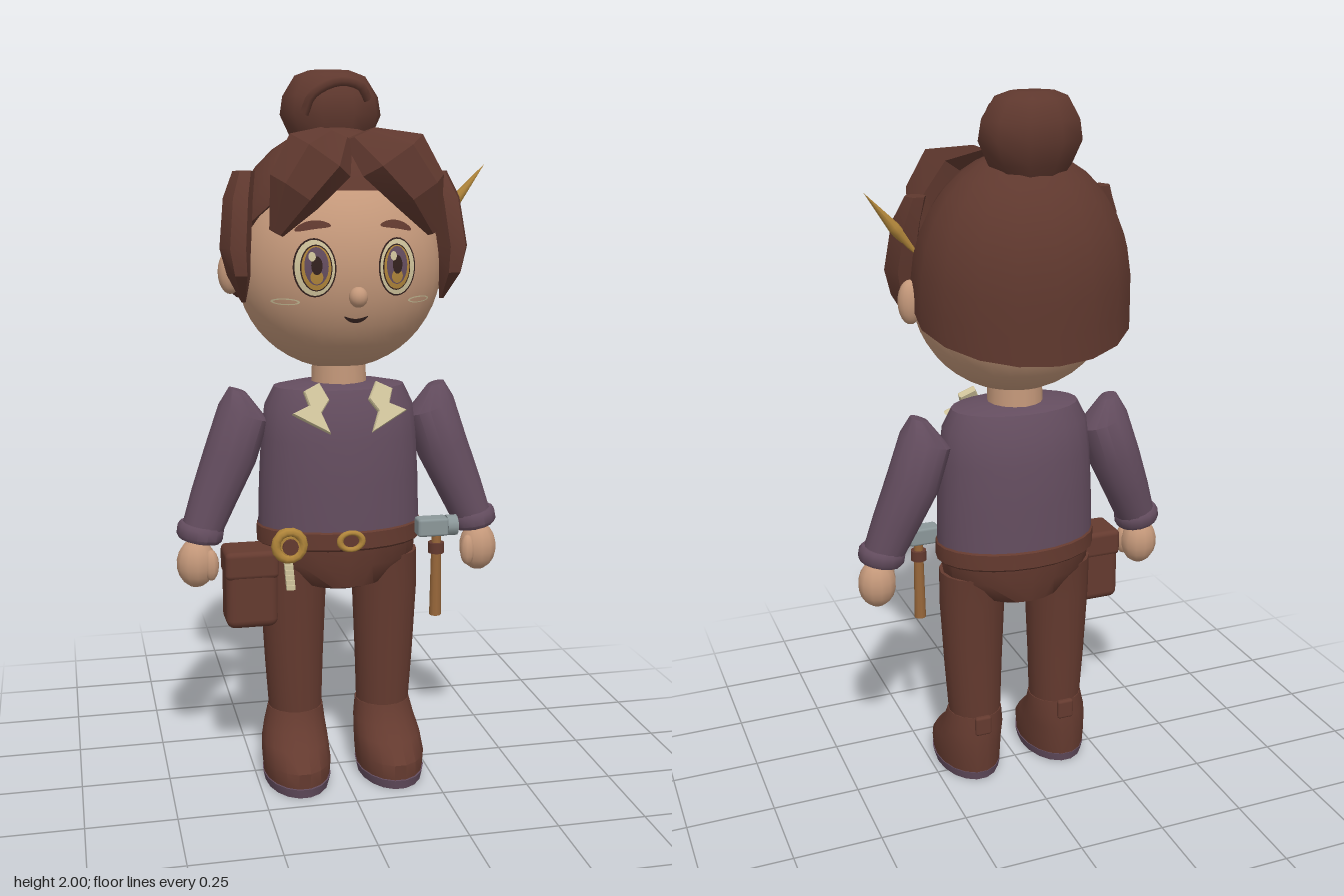
import * as THREE from 'three';
import { toCreasedNormals } from 'three/addons/utils/BufferGeometryUtils.js';
import { RoundedBoxGeometry } from 'three/addons/geometries/RoundedBoxGeometry.js';

const mat = (name, color, side = THREE.FrontSide) => {
  const m = new THREE.MeshStandardMaterial({ color, side });
  m.name = name;
  return m;
};

// Stack of elliptical rings [x, y, z, rx, rz, tilt], listed top to bottom and capped at both ends
function loft(rings, seg = 16, crease = 0.8) {
  const pos = [], idx = [];
  rings.forEach(([x, y, z, rx, rz, tilt = 0]) => {
    for (let j = 0; j < seg; j++) {
      const a = (j / seg) * Math.PI * 2, u = rx * Math.cos(a);
      pos.push(x + u * Math.cos(tilt), y + u * Math.sin(tilt), z + rz * Math.sin(a));
    }
  });
  const last = (rings.length - 1) * seg, top = rings.length * seg;
  pos.push(...rings[0].slice(0, 3), ...rings[rings.length - 1].slice(0, 3));
  for (let j = 0; j < seg; j++) {
    const k = (j + 1) % seg;
    for (let i = 0; i < last; i += seg) {
      idx.push(i + j, i + k, i + seg + j, i + k, i + seg + k, i + seg + j);
    }
    idx.push(top, k, j, top + 1, last + j, last + k);
  }
  const g = new THREE.BufferGeometry();
  g.setAttribute('position', new THREE.Float32BufferAttribute(pos, 3));
  g.setIndex(idx);
  return toCreasedNormals(g, crease);
}

// Mirror a ring list to either side
const flip = (rings, s) => rings.map(([x, y, z, rx, rz, t = 0]) => [s * x, y, z, rx, rz, s * t]);

const HEAD = { y: 1.47, rx: 0.285, ry: 0.28, rz: 0.24 };

// Thin ellipse wrapped on the face
function patch(x, y, rx, ry, off, turn = 0, bend = 0) {
  const g = new THREE.RingGeometry(0, 1, 28, 4);
  const p = g.attributes.position;
  for (let i = 0; i < p.count; i++) {
    const u = p.getX(i) * rx, v = p.getY(i) * ry + bend * p.getX(i) ** 2;
    const px = x + u * Math.cos(turn) - v * Math.sin(turn);
    const py = y + u * Math.sin(turn) + v * Math.cos(turn);
    const d = 1 - (px / HEAD.rx) ** 2 - ((py - HEAD.y) / HEAD.ry) ** 2;
    p.setXYZ(i, px, py, HEAD.rz * Math.sqrt(Math.max(0, d)) + off);
  }
  g.computeVertexNormals();
  return g;
}

// Hair shell whose lower edge rises from the nape to the forehead
function hairCap() {
  const seg = 18, rows = 9, pos = [], idx = [];
  for (let j = 0; j < seg; j++) {
    const a = (j / seg) * Math.PI * 2, c = -Math.cos(a);
    const edge = c < 0 ? 1.42 + 0.09 * c : 1.42 + 0.26 * THREE.MathUtils.smoothstep(c, 0, 0.8);
    const max = Math.acos((edge - 1.5) / 0.35);
    for (let i = 0; i <= rows + 1; i++) {
      const phi = (Math.min(i, rows) / rows) * max;
      const r = Math.sin(Math.min(phi, Math.PI / 2)) * (i > rows ? 0.75 : 1);
      pos.push(0.302 * r * Math.sin(a), 1.5 + 0.35 * Math.cos(phi), -0.05 + 0.253 * r * c);
    }
  }
  const n = rows + 2;
  for (let j = 0; j < seg; j++) {
    const k = (j + 1) % seg;
    for (let i = 0; i <= rows; i++) {
      const a = j * n + i, b = k * n + i;
      idx.push(a, b, a + 1, b, b + 1, a + 1);
    }
  }
  // azimuth runs from the back towards +x, so reverse to face outwards
  for (let i = 0; i < idx.length; i += 3) [idx[i + 1], idx[i + 2]] = [idx[i + 2], idx[i + 1]];
  const g = new THREE.BufferGeometry();
  g.setAttribute('position', new THREE.Float32BufferAttribute(pos, 3));
  g.setIndex(idx);
  return toCreasedNormals(g, 0.8);
}

export function createModel() {
  const root = new THREE.Group();
  const skin = mat('skin', 0xc4987a), hair = mat('hair', 0x5f382e, THREE.DoubleSide);
  const leather = mat('leather', 0x643a2f), cloth = mat('purple cloth', 0x644d5f);
  const gold = mat('gold', 0xb0853a), cream = mat('cream', 0xd0c49c, THREE.DoubleSide);
  const steel = mat('steel', 0x8b9799), wood = mat('wood', 0x98673a), dark = mat('dark', 0x33211e);
  const add = (name, geo, m, x = 0, y = 0, z = 0) => {
    const mesh = new THREE.Mesh(geo, m);
    mesh.name = name;
    mesh.position.set(x, y, z);
    root.add(mesh);
    return mesh;
  };
  const ball = (name, m, x, y, z, rx, ry, rz, ws = 16, hs = 12) =>
    add(name, new THREE.SphereGeometry(1, ws, hs).scale(rx, ry, rz), m, x, y, z);

  // Head and face
  ball('head', skin, 0, HEAD.y, 0, HEAD.rx, HEAD.ry, HEAD.rz, 32, 24);
  ball('headBack', skin, 0, 1.46, -0.03, 0.268, 0.262, 0.225, 28, 20);
  add('neck', new THREE.CylinderGeometry(0.075, 0.08, 0.12, 16), skin, 0, 1.17, 0);
  ball('nose', skin, 0, 1.41, 0.247, 0.025, 0.027, 0.025);
  add('mouth', patch(0, 1.345, 0.032, 0.006, 0.004, 0, 0.012), dark);

  // Hair cap, bun and its wrapped strand
  add('hairCap', hairCap(), hair);
  add('bun', loft([
    [0, 2, -0.12, 0.06, 0.05], [0, 1.985, -0.115, 0.1, 0.085], [0, 1.93, -0.11, 0.135, 0.108],
    [0, 1.88, -0.108, 0.143, 0.114], [0, 1.82, -0.105, 0.115, 0.095], [0, 1.77, -0.1, 0.08, 0.07],
  ], 10, 1), hair);
  const strand = [[-0.09, 1.88, -0.025], [-0.07, 1.93, -0.012], [0, 1.965, -0.005], [0.06, 1.955, -0.008], [0.085, 1.92, -0.025]];
  add('bunStrand', new THREE.TubeGeometry(
    new THREE.CatmullRomCurve3(strand.map((p) => new THREE.Vector3(...p))), 12, 0.013, 5), hair);

  for (const s of [1, -1]) {
    // Fringe and side locks
    add('fringe', loft(flip([
      [0.03, 1.825, 0.12, 0.045, 0.035, 0.4], [0.095, 1.77, 0.225, 0.095, 0.06, 0.6],
      [0.165, 1.68, 0.24, 0.075, 0.055, 0.6], [0.21, 1.575, 0.22, 0.02, 0.02, 0.5],
    ], s), 6, 0.4), hair);
    add('sideLock', loft(flip([
      [0.265, 1.73, 0.035, 0.03, 0.035], [0.285, 1.66, 0.06, 0.04, 0.06], [0.298, 1.53, 0.09, 0.042, 0.065],
      [0.29, 1.46, 0.095, 0.032, 0.055], [0.275, 1.385, 0.07, 0.006, 0.008],
    ], s), 6, 0.4), hair);

    // Ear, eye, brow and cheek
    ball('ear', skin, s * 0.3, 1.46, -0.008, 0.034, 0.06, 0.03);
    const eye = [
      ['eyeOutline', dark, 0.11, 1.485, 0.054, 0.076], ['eyeWhite', cream, 0.11, 1.485, 0.05, 0.072],
      ['irisRim', dark, 0.107, 1.485, 0.04, 0.06], ['irisGold', gold, 0.107, 1.485, 0.037, 0.057],
      ['iris', cloth, 0.107, 1.49, 0.03, 0.049], ['irisGlow', gold, 0.107, 1.462, 0.016, 0.018],
      ['pupil', dark, 0.107, 1.492, 0.014, 0.024],
    ];
    eye.forEach(([n, m, x, y, rx, ry], i) => add(n, patch(s * x, y, rx, ry, 0.003 + i * 0.0018), m));
    add('eyeGlint', patch(s * 0.107 - 0.012, 1.515, 0.009, 0.012, 0.018), cream);
    add('eyebrow', patch(s * 0.112, 1.594, 0.046, 0.011, 0.006, -s * 0.15, -0.008), hair);
    add('cheekMark', patch(s * 0.18, 1.395, 0.035, 0.009, 0.004), cream);
    add('cheekBlush', patch(s * 0.18, 1.395, 0.029, 0.006, 0.006), skin);

    // Sleeve, cuff and hand
    add('sleeve', loft(flip([
      [0.285, 1.135, -0.01, 0.025, 0.03, 0.3], [0.268, 1.07, -0.01, 0.075, 0.068, 0.35],
      [0.308, 0.95, -0.01, 0.076, 0.074, 0.33], [0.355, 0.84, 0, 0.067, 0.066, 0.33],
      [0.393, 0.745, 0.01, 0.058, 0.058, 0.25],
    ], s), 14), cloth);
    add('cuff', loft(flip([
      [0.394, 0.762, 0.01, 0.06, 0.06, 0.2], [0.396, 0.752, 0.01, 0.066, 0.066, 0.2],
      [0.4, 0.728, 0.012, 0.066, 0.066, 0.2], [0.402, 0.717, 0.012, 0.058, 0.058, 0.2],
    ], s), 14), cloth);
    ball('hand', skin, s * 0.412, 0.652, 0.018, 0.055, 0.07, 0.05, 12, 9);
    ball('thumb', skin, s * 0.373, 0.65, 0.045, 0.022, 0.045, 0.023, 10, 8);

    // Trouser leg, boot, heel tab and sole
    add('leg', loft(flip([
      [0.13, 0.66, 0, 0.098, 0.1], [0.134, 0.55, 0.002, 0.095, 0.09],
      [0.133, 0.35, 0.002, 0.085, 0.084], [0.13, 0.19, 0.002, 0.077, 0.077],
    ], s)), leather);
    add('boot', loft(flip([
      [0.13, 0.205, 0.002, 0.08, 0.08], [0.134, 0.15, 0.01, 0.09, 0.095], [0.137, 0.115, 0.033, 0.096, 0.12],
      [0.138, 0.07, 0.057, 0.098, 0.146], [0.138, 0.025, 0.058, 0.094, 0.145],
    ], s), 18), leather);
    add('heelTab', new RoundedBoxGeometry(0.05, 0.06, 0.02, 2, 0.008), leather, s * 0.132, 0.18, -0.078);
    add('sole', loft(flip([[0.138, 0.027, 0.06, 0.097, 0.149], [0.138, 0, 0.06, 0.091, 0.143]], s), 18), cloth);

    // Pointed collar leaf
    const leaf = new THREE.Shape([
      [0.08, 0.135], [0.12, 0.115], [0.108, 0.075], [0.155, 0.055], [0.06, 0], [0.082, 0.055], [0.058, 0.09],
    ].map(([x, y]) => new THREE.Vector2(s * x, y)));
    const collar = add('collarLeaf', new THREE.ExtrudeGeometry(leaf, {
      depth: 0.012, bevelEnabled: true, bevelThickness: 0.005, bevelSize: 0.003, bevelSegments: 1,
    }), cream, 0, 1.035, 0.162);
    collar.rotation.x = -0.4;
  }

  // Jumper and hips
  add('jumper', loft([
    [0, 1.155, 0, 0.12, 0.075], [0, 1.143, 0, 0.185, 0.115], [0, 1.09, 0, 0.212, 0.138],
    [0, 1, 0, 0.222, 0.152], [0, 0.88, 0, 0.229, 0.156], [0, 0.74, 0, 0.233, 0.155],
  ], 24), cloth);
  add('hips', loft([
    [0, 0.72, 0, 0.225, 0.148], [0, 0.65, 0, 0.218, 0.142], [0, 0.585, 0, 0.135, 0.125], [0, 0.575, 0, 0.11, 0.1],
  ], 20), leather);

  // Belt, buckle and ring
  add('belt', loft([
    [0, 0.757, 0, 0.23, 0.152], [0, 0.75, 0, 0.237, 0.16], [0, 0.705, 0, 0.237, 0.16], [0, 0.698, 0, 0.23, 0.152],
  ], 24, 0.5), leather);
  add('buckle', new THREE.TorusGeometry(0.03, 0.009, 8, 20).scale(1.05, 0.8, 1), gold, 0, 0.732, 0.168);
  add('beltRing', new THREE.TorusGeometry(0.038, 0.013, 8, 14), gold, -0.175, 0.735, 0.185);
  add('beltRingHub', new THREE.CylinderGeometry(0.027, 0.027, 0.09, 12).rotateX(Math.PI / 2), gold, -0.175, 0.735, 0.152);
  add('beltRingCentre', new THREE.CylinderGeometry(0.022, 0.022, 0.012, 12).rotateX(Math.PI / 2), leather, -0.175, 0.735, 0.2);

  // Hanging tape with stepped links
  for (let i = 0; i < 7; i++) {
    add('tapeLink', new THREE.BoxGeometry(0.024, 0.013, 0.012), cream, -0.178 + i * 0.002, 0.7 - i * 0.016, 0.172 - i * 0.004);
  }

  // Pouch
  add('pouch', new RoundedBoxGeometry(0.145, 0.22, 0.12, 3, 0.025), leather, -0.267, 0.59, 0.06);
  add('pouchFlap', new RoundedBoxGeometry(0.15, 0.08, 0.126, 2, 0.015), leather, -0.267, 0.662, 0.06);

  // Hammer in its loop
  add('hammerHandle', new THREE.CylinderGeometry(0.013, 0.017, 0.25, 10), wood, 0.262, 0.605, 0.1);
  add('hammerHead', new RoundedBoxGeometry(0.09, 0.052, 0.052, 1, 0.008), steel, 0.248, 0.743, 0.1);
  add('hammerFace', new THREE.CylinderGeometry(0.03, 0.03, 0.03, 12).rotateZ(Math.PI / 2), steel, 0.305, 0.743, 0.1);
  add('hammerLoop', new THREE.CylinderGeometry(0.023, 0.023, 0.03, 12), leather, 0.262, 0.68, 0.1);

  // Hair stick behind the left ear
  const stick = [[0, 0], [0.016, 0.1], [0.0155, 0.12], [0, 0.24]].map((p) => new THREE.Vector2(...p));
  add('hairStick', new THREE.LatheGeometry(stick, 8), gold, 0.255, 1.563, 0.02).rotation.z = -0.69;
  return root;
}
